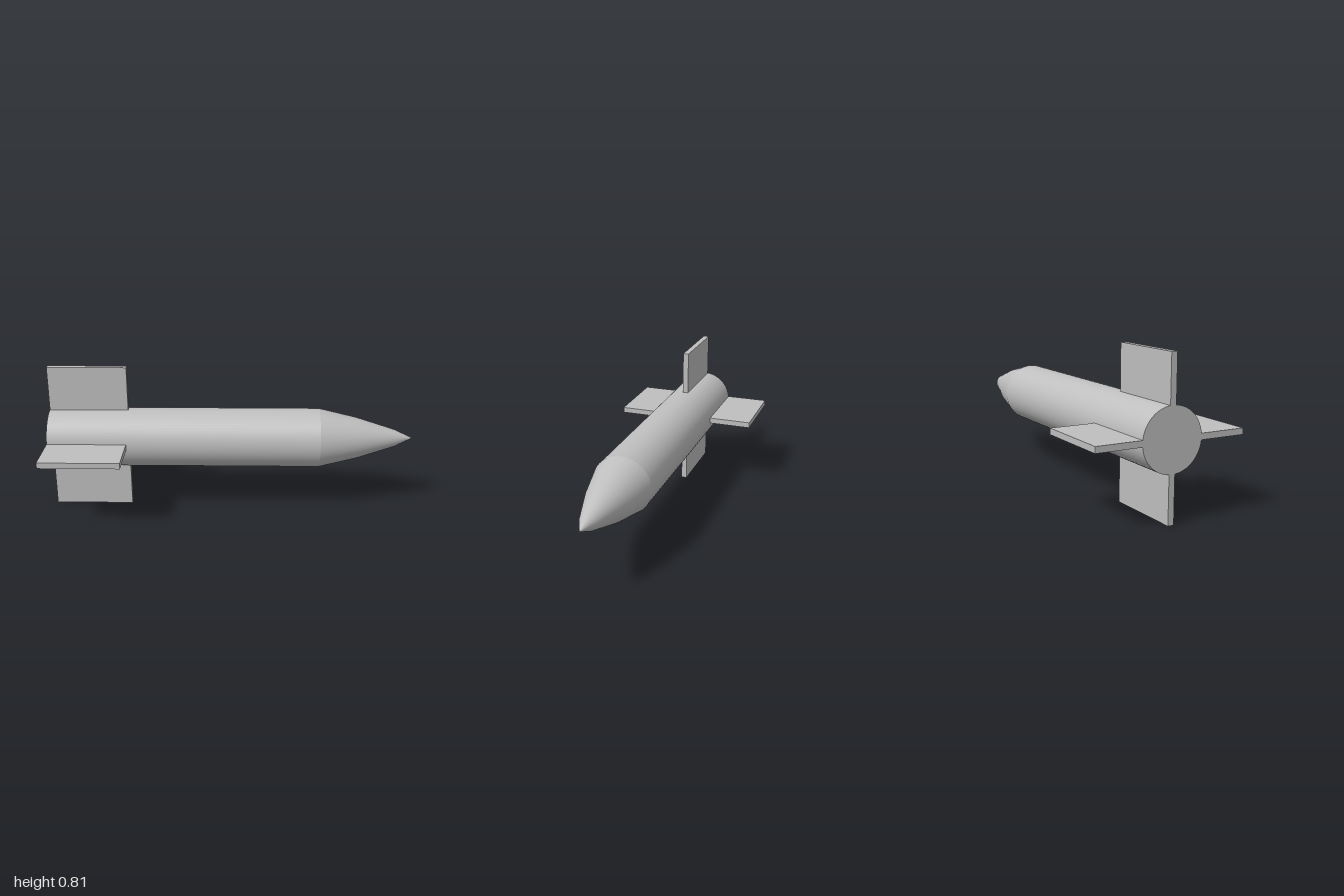
import * as THREE from 'three';

const RADIUS = 0.162, SPAN = 0.405, SHOULDER = 0.48;

export function createModel() {
  const model = new THREE.Group();
  model.name = 'rocket';
  const grey = new THREE.MeshStandardMaterial({ color: 0xbfbfbf });
  grey.name = 'plain grey';

  const add = (name, geometry) => {
    const mesh = new THREE.Mesh(geometry, grey);
    mesh.name = name;
    mesh.position.y = SPAN;
    model.add(mesh);
    return mesh;
  };

  // Straight tube with a flat tail disc, lying along x
  const length = SHOULDER + 1;
  add('body', new THREE.CylinderGeometry(RADIUS, RADIUS, length, 64)
    .rotateZ(-Math.PI / 2).translate(-1 + length / 2, 0, 0));

  // Pointed nose that curves in from the shoulder
  const profile = [[RADIUS, SHOULDER], [0.113, 0.69], [0.047, 0.9], [0, 1]]
    .map(([r, x]) => new THREE.Vector2(r, x));
  add('noseCone', new THREE.LatheGeometry(profile, 64).rotateZ(-Math.PI / 2));

  // Four rectangular tail fins, rooted just inside the body
  const root = RADIUS - 0.004, height = SPAN - root;
  ['topFin', 'leftFin', 'bottomFin', 'rightFin'].forEach((name, i) => {
    add(name, new THREE.BoxGeometry(0.43, height, 0.032)
      .translate(-0.785, root + height / 2, 0)).rotation.x = i * Math.PI / 2;
  });
  // Fins turn from +y to +z, so the second and fourth are the front and back ones
  model.children[3].name = 'frontFin';
  model.children[5].name = 'backFin';

  return model;
}
